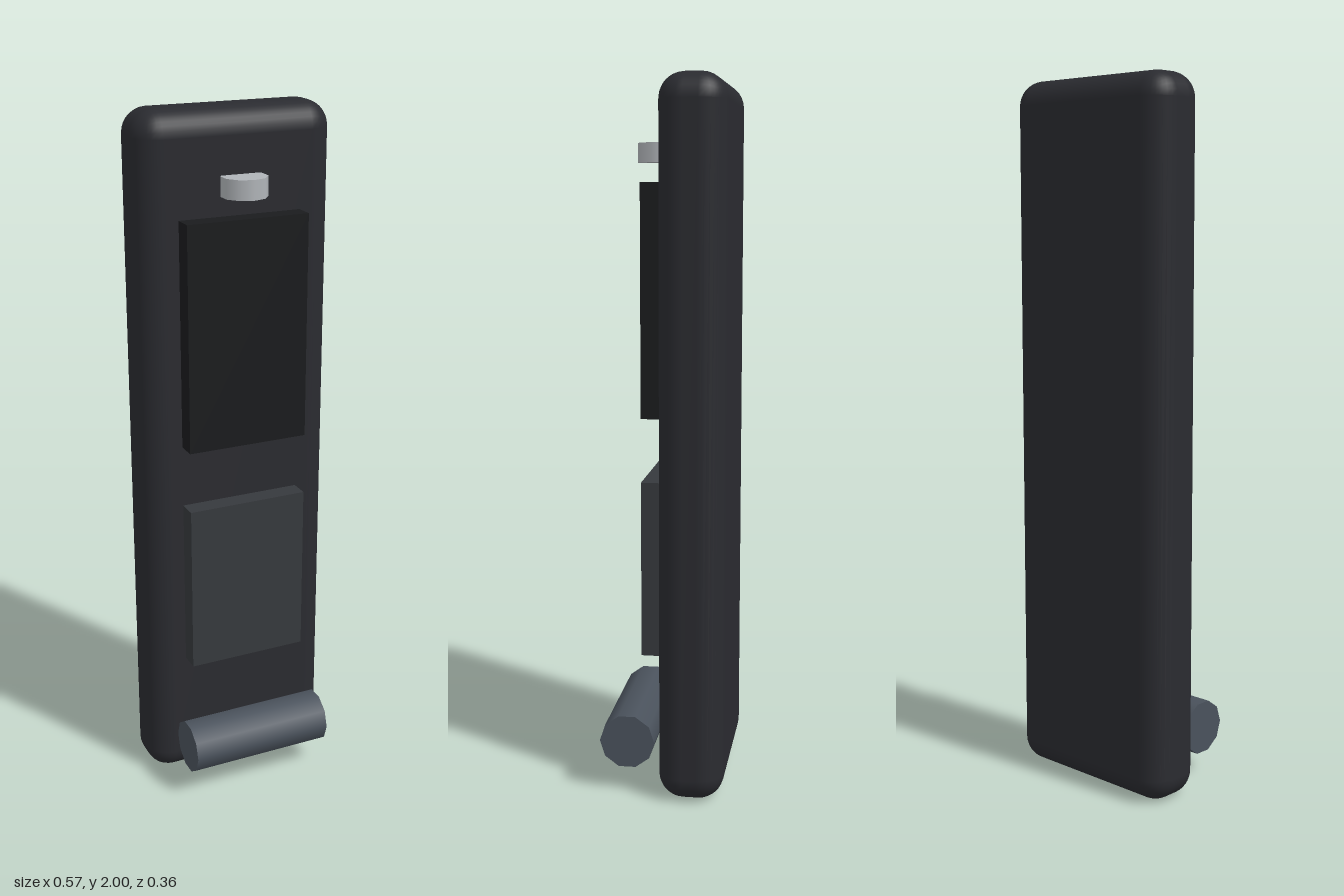
import * as THREE from 'three';
import { RoundedBoxGeometry } from 'three/addons/geometries/RoundedBoxGeometry.js';

export function createModel() {
  const model = new THREE.Group();
  model.name = 'handheldDevice';

  const add = (name, geometry, color, x, y, z) => {
    const mesh = new THREE.Mesh(geometry, new THREE.MeshStandardMaterial({ color }));
    mesh.name = name;
    mesh.position.set(x, y, z);
    model.add(mesh);
    return mesh;
  };

  // Slim upright body with rounded edges
  add('body', new RoundedBoxGeometry(0.572, 2, 0.184, 4, 0.071), 0x2a2b30, 0, 1, -0.087);

  // Raised rectangular panels on the front face
  const panelDepth = 0.071;
  const panelZ = 0.062 - panelDepth / 2;
  add('screen', new THREE.BoxGeometry(0.356, 0.642, panelDepth), 0x1a1b1d, 0, 1.395, panelZ);
  add('keypad', new THREE.BoxGeometry(0.356, 0.5, panelDepth), 0x36393d, 0, 0.645, panelZ);

  // Small upright knob, partly sunk into the body
  add('knob', new THREE.CylinderGeometry(0.064, 0.064, 0.054, 10), 0xb0b4b8, 0, 1.798, 0.033);

  // Horizontal roller across the foot of the front
  const roller = add('roller', new THREE.CylinderGeometry(0.0785, 0.0785, 0.428, 10), 0x4a525c, 0, 0.148, 0.099);
  roller.rotation.z = Math.PI / 2;

  return model;
}
